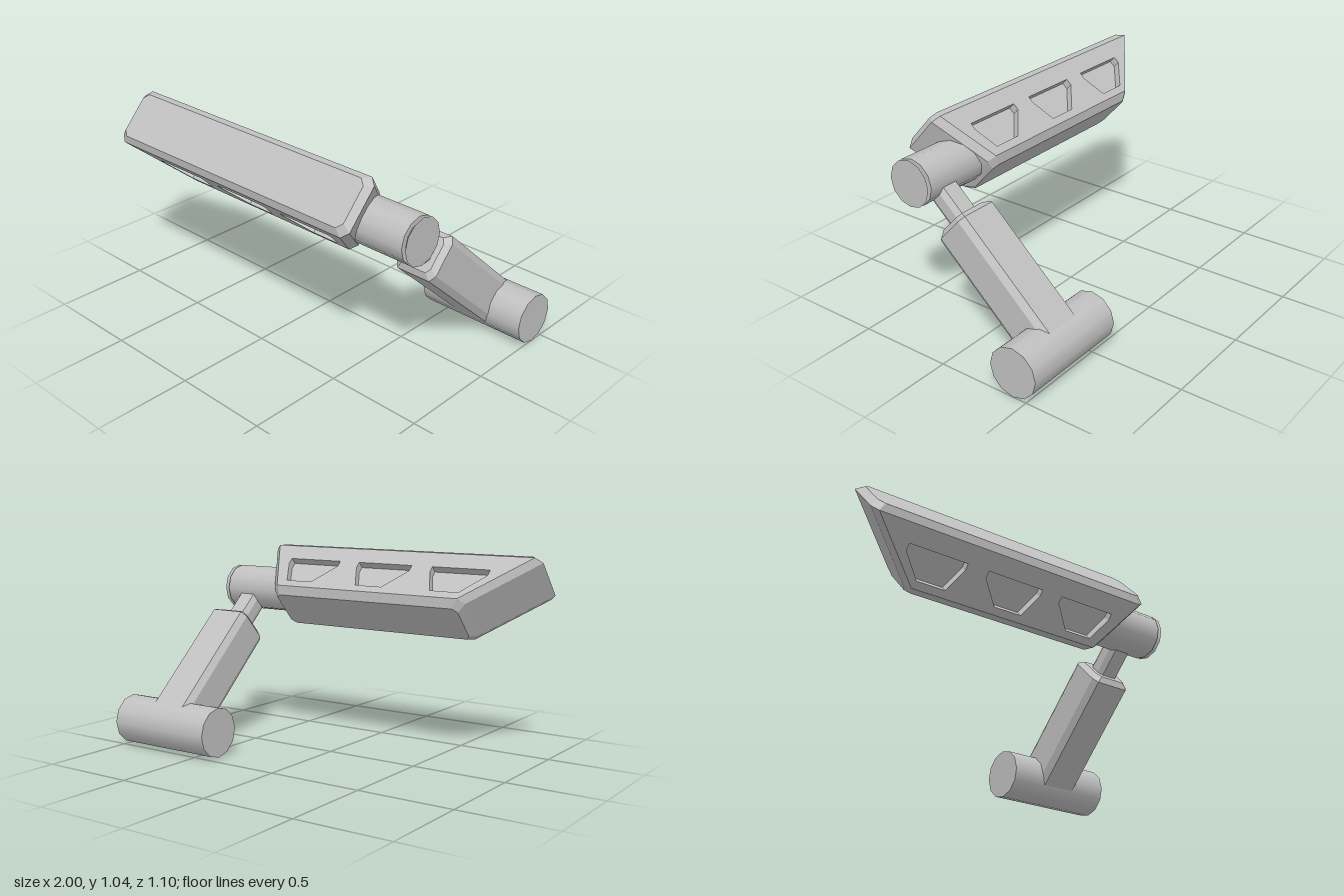
import * as THREE from 'three';

const grey = new THREE.MeshStandardMaterial({ color: 0xc0c0c0 });
grey.name = 'plain grey';

function part(name, geometry, parent) {
  const mesh = new THREE.Mesh(geometry, grey);
  mesh.name = name;
  parent.add(mesh);
  return mesh;
}

// Skin over chamfered rectangles stacked along z; openSpan leaves its top and bottom faces open
function loft(sections, openSpan = -1) {
  const rings = sections.map(({ z, x0, x1, h, cx, cy }) => [
    [x1, cy - h, z], [x1, h - cy, z], [x1 - cx, h, z], [x0 + cx, h, z],
    [x0, h - cy, z], [x0, cy - h, z], [x0 + cx, -h, z], [x1 - cx, -h, z],
  ]);
  const pos = [];
  const tri = (...points) => points.forEach((p) => pos.push(...p));
  for (let i = 0; i < rings.length - 1; i++) {
    for (let j = 0; j < 8; j++) {
      if (i === openSpan && (j === 2 || j === 6)) continue;
      const k = (j + 1) % 8, a = rings[i], b = rings[i + 1];
      tri(a[j], a[k], b[k]);
      tri(a[j], b[k], b[j]);
    }
  }
  const first = rings[0], last = rings[rings.length - 1];
  for (let j = 1; j < 7; j++) {
    tri(first[0], first[j + 1], first[j]);
    tri(last[0], last[j], last[j + 1]);
  }
  const geometry = new THREE.BufferGeometry();
  geometry.setAttribute('position', new THREE.Float32BufferAttribute(pos, 3));
  geometry.computeVertexNormals();
  return geometry;
}

// Twelve-sided round bar lying along x
function bar(x0, x1, r0, r1 = r0) {
  const geometry = new THREE.CylinderGeometry(r0, r1, x1 - x0, 12);
  return geometry.rotateZ(Math.PI / 2).translate((x0 + x1) / 2, 0, 0);
}

const polygon = (points, Type) => new Type(points.map(([x, y]) => new THREE.Vector2(x, y)));

// Plate lying flat: shape y becomes z, thickness goes down from y
function plate(shape, y, depth) {
  return new THREE.ExtrudeGeometry(shape, { depth, bevelEnabled: false })
    .rotateX(Math.PI / 2).translate(0, y, 0);
}

export function createModel() {
  const model = new THREE.Group();
  model.name = 'hingedPanel';

  // Base bar
  part('baseBar', bar(0.4, 1, 0.13), model).position.set(0, 0.13, -0.426);

  // Tilted assembly: local z runs out along the arm
  const tilted = new THREE.Group();
  tilted.name = 'tiltedArm';
  tilted.position.set(0, 0.13, -0.426);
  tilted.rotation.x = -0.74;
  model.add(tilted);

  // Arm with a bevelled end, and the slim rod leaving it
  const armX = 0.697;
  const armSection = (z, w, h, cx, cy) => ({ z, x0: armX - w, x1: armX + w, h, cx, cy });
  part('arm', loft([
    armSection(0, 0.117, 0.119, 0.022, 0.035),
    armSection(0.7, 0.117, 0.119, 0.022, 0.035),
    armSection(0.726, 0.09, 0.091, 0.018, 0.025),
  ]), tilted);
  part('rod', loft([
    armSection(0.7, 0.061, 0.057, 0.018, 0.029),
    armSection(0.97, 0.061, 0.057, 0.018, 0.029),
  ]), tilted);

  // Pivot barrel with a bevelled end
  const pivot = new THREE.Group();
  pivot.name = 'pivot';
  pivot.position.set(0, 0.793, 0.299);
  model.add(pivot);
  part('pivotBarrel', bar(0.445, 0.826, 0.12), pivot);
  // bar's second radius is the +x end's opposite, so the bevel is narrowed with a swapped pair
  part('pivotBevel', bar(-0.847, -0.826, 0.12, 0.093).rotateY(Math.PI), pivot);

  // Panel: bevelled block, wide at the front and tapering to the back
  const H = 0.153, C = 0.035;
  part('panelBody', loft([
    { z: 0.844, x0: -0.66, x1: 0.445, h: 0.115, cx: 0.025, cy: 0.025 },
    { z: 0.88, x0: -0.695, x1: 0.472, h: H, cx: C, cy: C },
    { z: 1.174, x0: -1, x1: 0.615, h: H, cx: C, cy: C },
    { z: 1.207, x0: -0.967, x1: 0.585, h: 0.124, cx: 0.03, cy: 0.03 },
  ], 1), tilted);

  // Upper and lower panel faces, each with three sunken pockets
  const outline = [[-0.66, 0.88], [0.437, 0.88], [0.58, 1.174], [-0.965, 1.174]];
  const face = polygon(outline, THREE.Shape);
  for (let i = 0; i < 3; i++) {
    const x = -0.763 + i * 0.4425;
    face.holes.push(polygon([
      [x, 1.078], [x + 0.322, 1.078], [x + 0.322, 1.042],
      [x + 0.27, 0.92], [x + 0.112, 0.92], [x, 1.042],
    ], THREE.Path));
  }
  for (const side of [1, -1]) {
    const name = side > 0 ? 'upper' : 'lower';
    part(name + 'Face', plate(face, H, 0.04), tilted).scale.y = side;
    part(name + 'PocketFloor', plate(polygon(outline, THREE.Shape), H - 0.04, 0.008), tilted).scale.y = side;
  }
  return model;
}
